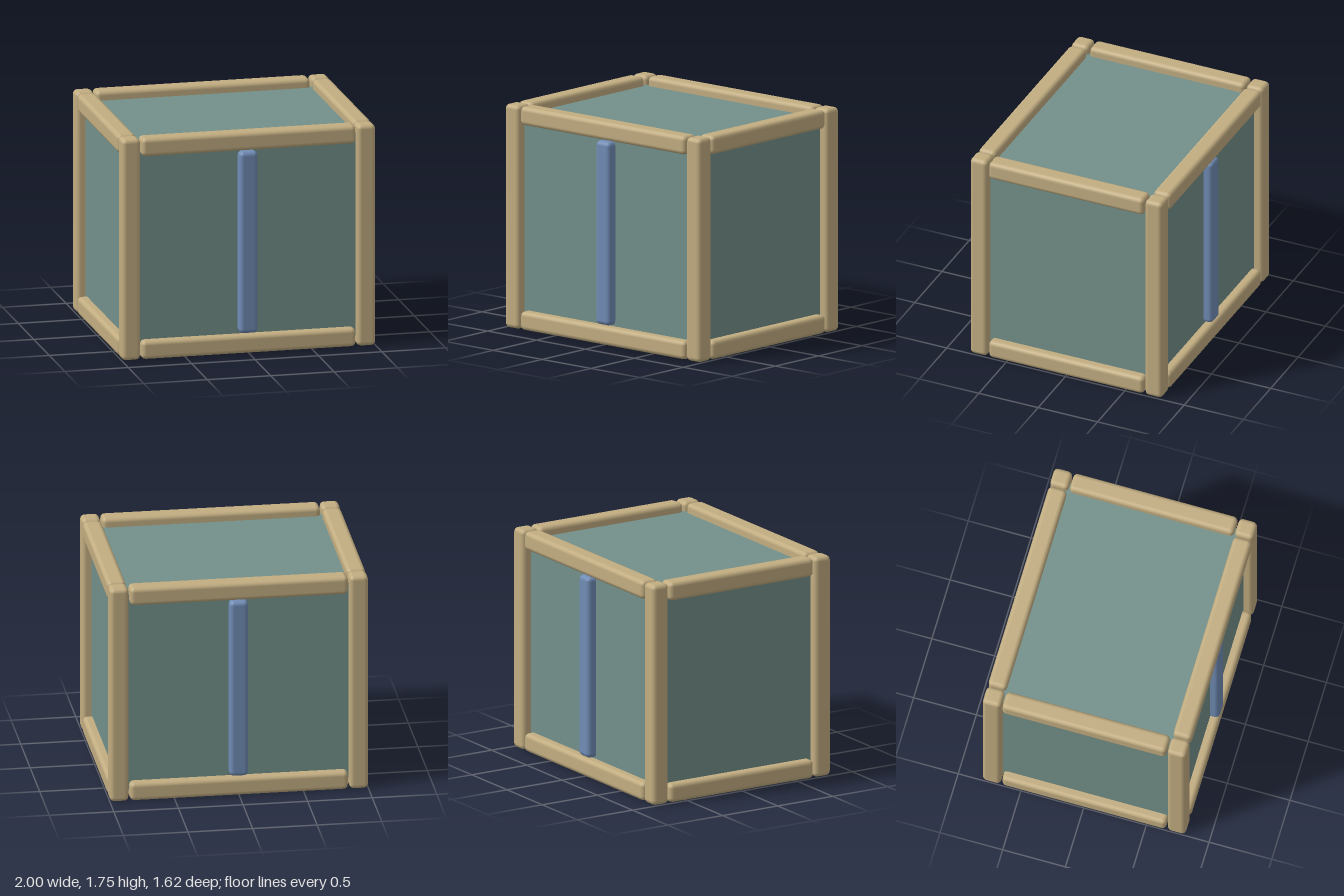
import * as THREE from 'three';
import { RoundedBoxGeometry } from 'three/addons/geometries/RoundedBoxGeometry.js';

const W = 2, H = 1.75, D = 1.62; // overall size
const T = 0.146;                 // beam thickness
const GAP = 0.01;                // seam between beams
const BEVEL = 0.035;

export function createModel() {
  const group = new THREE.Group();
  const wood = new THREE.MeshStandardMaterial({ color: 0xc2ad81 });
  wood.name = 'tan wood';
  const teal = new THREE.MeshStandardMaterial({ color: 0x73908a });
  teal.name = 'teal panel';
  const blue = new THREE.MeshStandardMaterial({ color: 0x708cb5 });
  blue.name = 'blue bar';

  const add = (name, geometry, material, x, y, z) => {
    const mesh = new THREE.Mesh(geometry, material);
    mesh.name = name;
    mesh.position.set(x, y, z);
    group.add(mesh);
  };
  const beam = (w, h, d) => new RoundedBoxGeometry(w, h, d, 2, BEVEL);

  // Beam centre lines
  const cx = W / 2 - T / 2, cz = D / 2 - T / 2;
  const low = T / 2, high = H - T / 2;

  // Closed core whose faces run through the middle of the beams
  add('panelBox', new THREE.BoxGeometry(2 * cx, high - low, 2 * cz), teal, 0, H / 2, 0);

  const post = beam(T, H, T);
  const longRail = beam(W - 2 * (T + GAP), T, T);
  const sideRail = beam(T, T, D - 2 * (T + GAP));
  const bar = beam(T, H - 2 * (T + GAP), T);

  for (const s of [-1, 1]) {
    // Corner posts
    for (const t of [-1, 1]) add('cornerPost', post, wood, s * cx, H / 2, t * cz);

    // Top and bottom rails
    for (const y of [low, high]) {
      add('longRail', longRail, wood, 0, y, s * cz);
      add('sideRail', sideRail, wood, s * cx, y, 0);
    }

    // Centre bar on front and back
    add('centreBar', bar, blue, 0, H / 2, s * cz);
  }
  return group;
}
